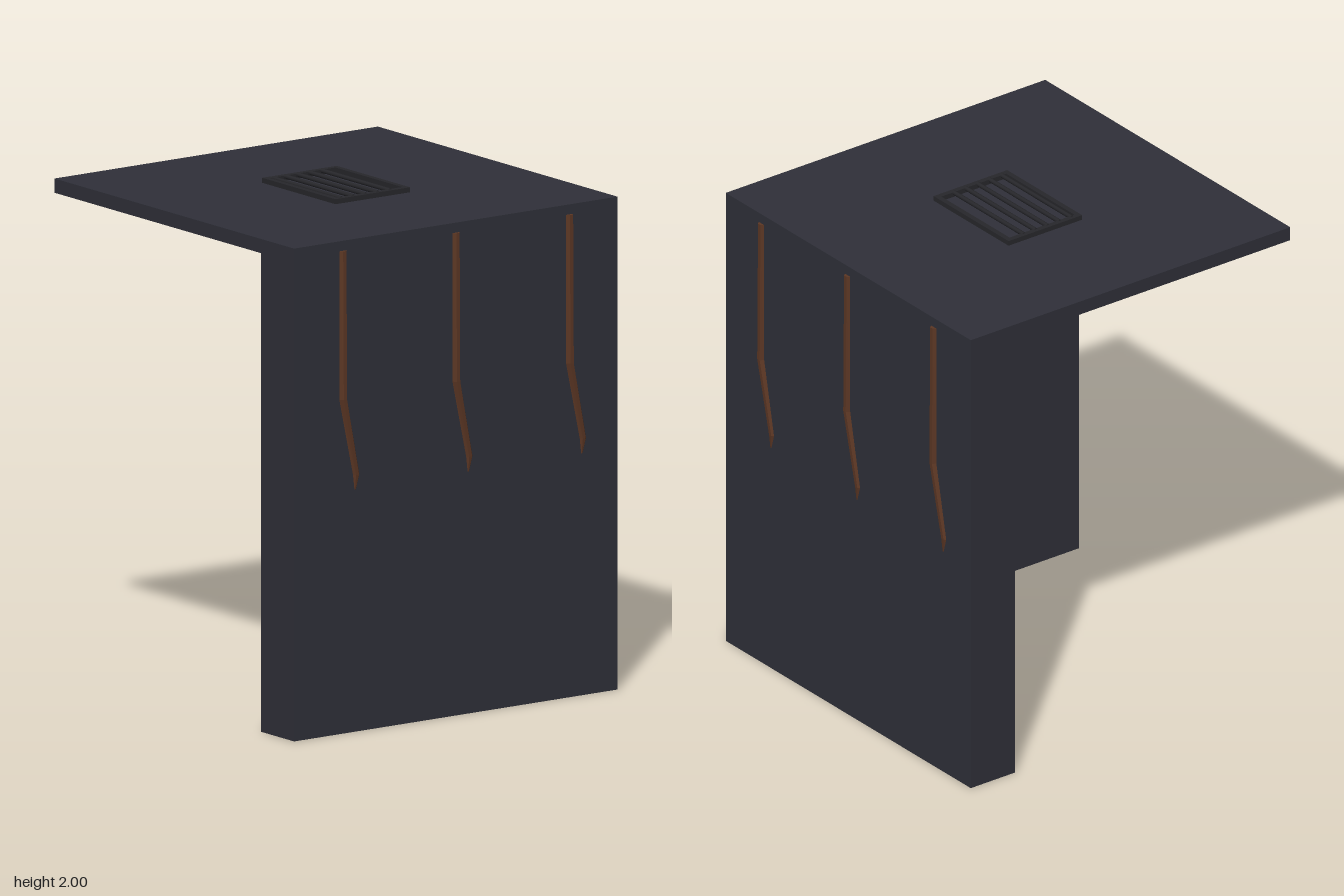
import * as THREE from 'three';

const mat = (name, color) => {
  const m = new THREE.MeshStandardMaterial({ color });
  m.name = name;
  return m;
};

export function createModel() {
  const model = new THREE.Group();
  model.name = 'ventedCornerBlock';
  const wallPaint = mat('slate', 0x2f3039);
  const iron = mat('dark iron', 0x27272b);
  const rust = mat('rust', 0x5c3724);
  rust.flatShading = true;

  // Box given by its minimum and maximum corners
  function box(name, material, min, max, parent = model) {
    const size = max.map((v, i) => v - min[i]);
    const mesh = new THREE.Mesh(new THREE.BoxGeometry(...size), material);
    mesh.position.set(...max.map((v, i) => (v + min[i]) / 2));
    mesh.name = name;
    parent.add(mesh);
    return mesh;
  }

  // Two walls meeting at a corner, under a thin roof slab
  const lo = -0.8, hi = 0.775, inner = 0.557, under = 1.918, top = 1.975;
  box('roof', wallPaint, [lo, under, lo], [hi, top, hi]);
  box('frontWall', wallPaint, [lo, 0, inner], [hi, under, hi]);
  box('sideWall', wallPaint, [inner, 0, lo], [hi, under, inner]);

  // Roof grate: square frame and round bars
  const grate = new THREE.Group();
  grate.name = 'roofGrate';
  model.add(grate);
  const x0 = -0.193, x1 = 0.17, z0 = -0.254, z1 = 0.228, f = 0.022, h = 1.995;
  box('frameBack', iron, [x0, top, z0], [x1, h, z0 + f], grate);
  box('frameFront', iron, [x0, top, z1 - f], [x1, h, z1], grate);
  box('frameLeft', iron, [x0, top, z0 + f], [x0 + f, h, z1 - f], grate);
  box('frameRight', iron, [x1 - f, top, z0 + f], [x1, h, z1 - f], grate);
  const barGeometry = new THREE.CylinderGeometry(0.009, 0.009, z1 - z0 - 0.03, 8).rotateX(Math.PI / 2);
  for (let i = 0; i < 5; i++) {
    const bar = new THREE.Mesh(barGeometry, iron);
    bar.name = 'grateBar';
    bar.position.set(-0.153 + i * 0.059, 1.991, (z0 + z1) / 2);
    grate.add(bar);
  }

  // Rust streak: a faceted ridge swept down the wall, bent towards its tip
  const sections = [ // sideways shift, height, depth, width
    [0, 1.935, 0.012, 1], [0, 1.34, 0.016, 1], [0.065, 1.03, 0.008, 0.9], [0.06, 0.97, 0.001, 0.2],
  ];
  const profile = [[-0.017, 0], [-0.007, 1], [0.009, 1], [0.017, 0]];
  const rings = sections.map(([x, y, d, w]) => profile.map(([px, pz]) => [x + px * w, y, pz * d]));
  const points = [];
  const quad = (a, b, c, d) => points.push(...a, ...b, ...c, ...a, ...c, ...d);
  for (let i = 0; i < rings.length - 1; i++) {
    for (let j = 0; j < profile.length - 1; j++) {
      quad(rings[i][j], rings[i + 1][j], rings[i + 1][j + 1], rings[i][j + 1]);
    }
  }
  quad(...rings[0]);
  const streakGeometry = new THREE.BufferGeometry();
  streakGeometry.setAttribute('position', new THREE.Float32BufferAttribute(points, 3));
  streakGeometry.computeVertexNormals();

  function streaks(name, offsets) {
    const group = new THREE.Group();
    group.name = name;
    for (const x of offsets) {
      const streak = new THREE.Mesh(streakGeometry, rust);
      streak.name = 'rustStreak';
      streak.position.set(x, 0, hi);
      group.add(streak);
    }
    model.add(group);
    return group;
  }
  streaks('frontStreaks', [-0.563, -0.012, 0.541]);
  streaks('sideStreaks', [-0.545, 0.008, 0.562]).rotation.y = Math.PI / 2;

  return model;
}
